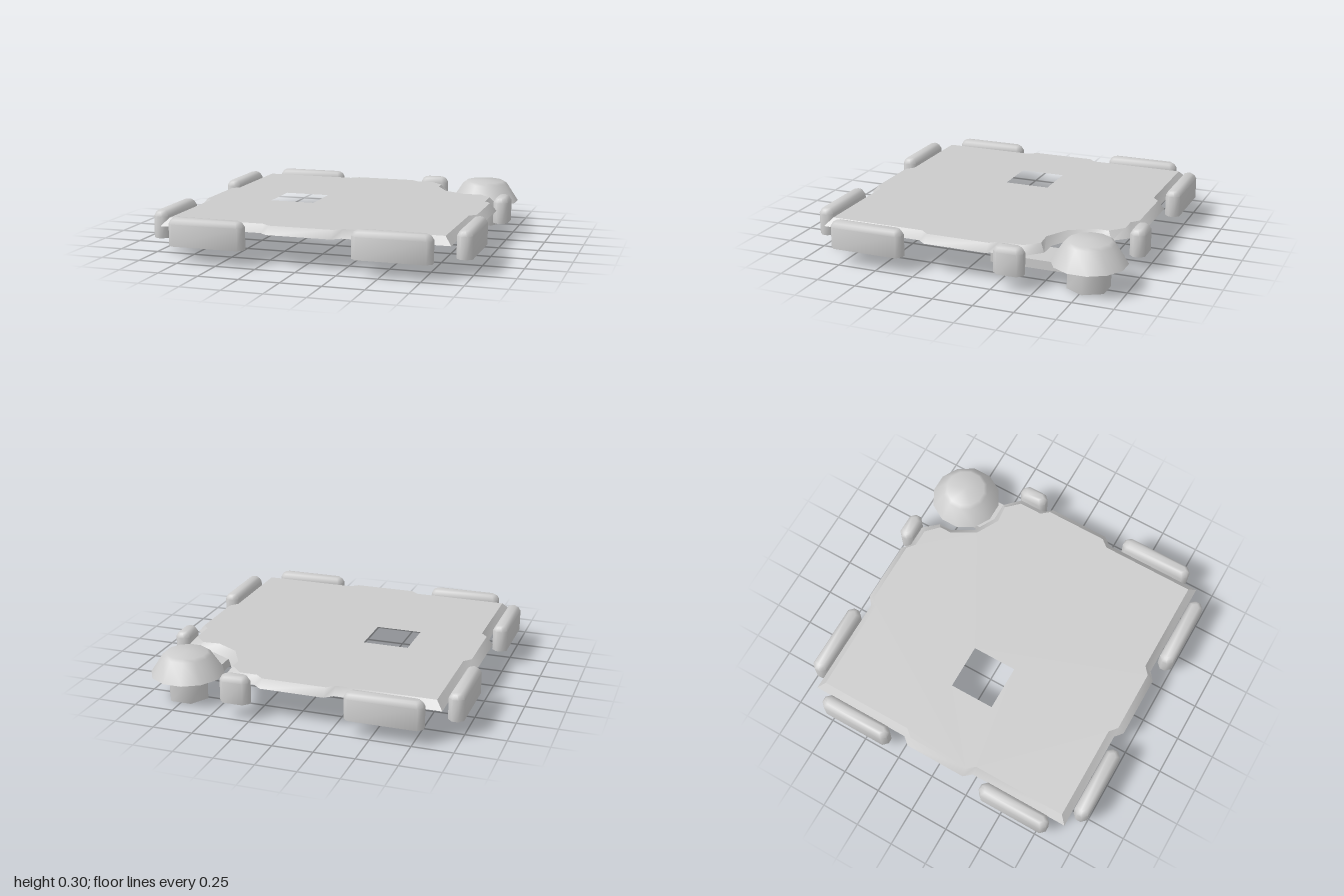
import * as THREE from 'three';
import { toCreasedNormals } from 'three/addons/utils/BufferGeometryUtils.js';

const material = new THREE.MeshStandardMaterial({ color: 0xcccccc, side: THREE.DoubleSide });

function add(parent, name, geometry, crease) {
  const mesh = new THREE.Mesh(toCreasedNormals(geometry, crease), material);
  mesh.name = name;
  parent.add(mesh);
  return mesh;
}

// Open-bottomed shell: stacked outlines [x, -z] at given heights, closed on top.
function shell(rings, heights, hole) {
  const pos = [];
  const v = (r, i) => {
    const p = rings[r][i % rings[r].length];
    return [p[0], heights[r], -p[1]];
  };
  for (let r = 0; r < rings.length - 1; r++) {
    for (let i = 0; i < rings[r].length; i++) {
      const a = v(r, i), b = v(r, i + 1), c = v(r + 1, i + 1), d = v(r + 1, i);
      pos.push(...a, ...b, ...c, ...a, ...c, ...d);
    }
  }
  const toVec = (list) => list.map(([x, y]) => new THREE.Vector2(x, y));
  const top = rings.length - 1;
  const shape = new THREE.Shape(toVec(rings[top]));
  if (hole) shape.holes.push(new THREE.Path(toVec(hole)));
  const cap = new THREE.ShapeGeometry(shape).rotateX(-Math.PI / 2).toNonIndexed();
  cap.translate(0, heights[top], 0);
  pos.push(...cap.attributes.position.array);
  const g = new THREE.BufferGeometry();
  g.setAttribute('position', new THREE.Float32BufferAttribute(pos, 3));
  return g;
}

// Square outline with a shallow tab on each side and one notched corner.
function plateOutline(r, notch) {
  const pts = [];
  const side = [[r, -0.25], [r + 0.042, -0.2], [r + 0.042, 0.2], [r, 0.25]];
  for (let k = 0; k < 4; k++) {
    const c = [1, 0, -1, 0][k], s = [0, 1, 0, -1][k];
    const turn = ([x, y]) => [x * c - y * s, x * s + y * c];
    pts.push(...side.map(turn));
    if (k === 0) pts.push(...notch);
    else pts.push(turn([r, r]));
  }
  return pts;
}

// Rectangle with cut corners.
function cutRect(w, d, cut) {
  const x = w / 2, y = d / 2;
  return [[x, -y + cut], [x, y - cut], [x - cut, y], [-x + cut, y],
    [-x, y - cut], [-x, -y + cut], [-x + cut, -y], [x - cut, -y]];
}

function bumperGeometry(length) {
  const w = 0.095;
  return shell([
    cutRect(length, w, 0.03),
    cutRect(length, w, 0.03),
    cutRect(length - 0.025, w - 0.025, 0.026),
    cutRect(length - 0.06, w - 0.05, 0.018),
  ], [0.1, 0.235, 0.26, 0.27]);
}

export function createModel() {
  const model = new THREE.Group();
  model.name = 'model';

  // Thin plate with bevelled rim and square opening
  const outer = plateOutline(0.9, [[0.9, 0.42], [0.81, 0.51], [0.69, 0.51], [0.555, 0.585],
    [0.475, 0.72], [0.475, 0.81], [0.395, 0.9]]);
  const inner = plateOutline(0.857, [[0.857, 0.4], [0.78, 0.48], [0.67, 0.47], [0.525, 0.55],
    [0.44, 0.7], [0.44, 0.78], [0.36, 0.857]]);
  const opening = [[-0.475, -0.14], [-0.185, -0.14], [-0.185, 0.15], [-0.475, 0.15]];
  add(model, 'plate', shell([outer, inner], [0.197, 0.245], opening), 0.6);

  // Rounded bumpers around the edge: [x, z, length, runs along z]
  const e = 0.9525;
  const bumpers = [
    [-0.572, e, 0.478, false], [0.572, e, 0.478, false],
    [-0.572, -e, 0.478, false], [0.35, -e, 0.185, false],
    [-e, 0.572, 0.478, true], [-e, -0.572, 0.478, true],
    [e, 0.572, 0.478, true], [e, -0.35, 0.185, true],
  ];
  for (const [x, z, length, alongZ] of bumpers) {
    const b = add(model, 'bumper', bumperGeometry(length), 0.9);
    b.position.set(x, 0, z);
    if (alongZ) b.rotation.y = Math.PI / 2;
  }

  // Corner knob: faceted cap on a six-sided post
  const knob = new THREE.Group();
  knob.name = 'cornerKnob';
  knob.position.set(0.75, 0, -0.767);
  const profile = [[0, 0.157], [0.228, 0.157], [0.15, 0.277], [0.128, 0.293], [0, 0.297]]
    .map(([x, y]) => new THREE.Vector2(x, y));
  add(knob, 'knobCap', new THREE.LatheGeometry(profile, 12).rotateY(Math.PI / 12), 0.7);
  const post = new THREE.CylinderGeometry(0.131, 0.131, 0.16, 6).rotateY(Math.PI / 2);
  add(knob, 'knobPost', post.translate(0, 0.08, 0), 1.1);
  model.add(knob);

  // Folded channel joining the knob to the plate's underside
  const channel = new THREE.Group();
  channel.name = 'bracket';
  const web = new THREE.PlaneGeometry(0.225, 0.5).rotateX(-Math.PI / 2);
  add(channel, 'bracketTop', web.translate(0.7175, 0.155, -0.43), 0.5);
  for (const s of [-1, 1]) {
    const wall = new THREE.PlaneGeometry(0.5, 0.055).rotateY(s * Math.PI / 2);
    add(channel, 'bracketSide', wall.translate(0.7175 + s * 0.1125, 0.1275, -0.43), 0.5);
  }
  model.add(channel);

  return model;
}
